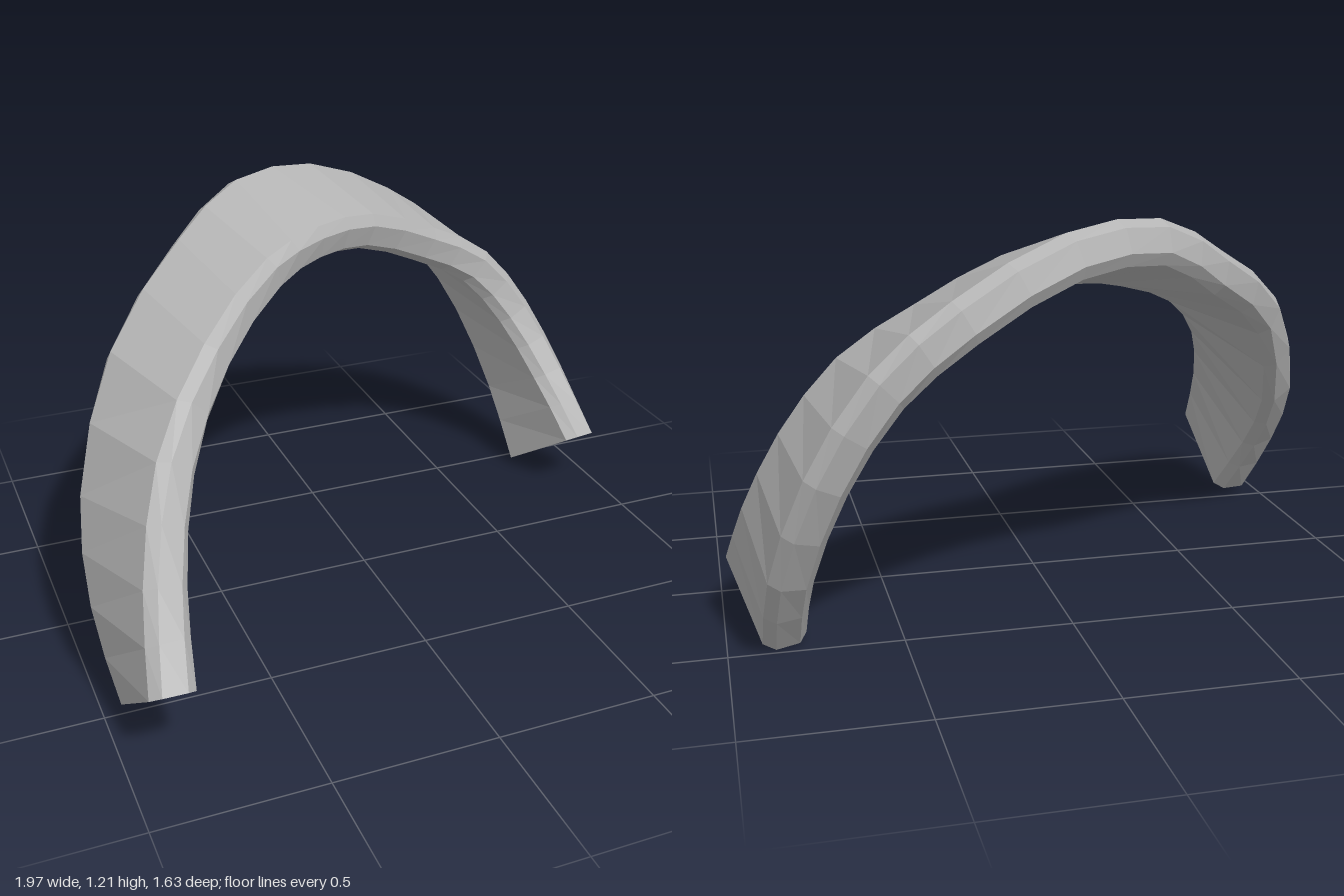
import * as THREE from 'three';

// Matching stations along the two rims of the band
const FRONT = [
  [-0.865, 0.28, 0.82], [-0.82, 0.5, 0.65], [-0.71, 0.73, 0.42], [-0.5, 0.91, 0.15],
  [-0.23, 1.02, -0.13], [-0.04, 1.05, -0.25], [0.17, 1.03, -0.35], [0.42, 0.925, -0.43],
  [0.63, 0.81, -0.46], [0.78, 0.63, -0.44], [0.88, 0.42, -0.34], [0.93, 0.23, -0.17],
];
const BACK = [
  [-0.89, 0.05, 0.5], [-0.93, 0.27, 0.33], [-0.91, 0.5, 0.13], [-0.77, 0.82, -0.11],
  [-0.48, 1.03, -0.42], [-0.25, 1.16, -0.58], [0.04, 1.15, -0.7], [0.36, 1.0, -0.79],
  [0.57, 0.83, -0.81], [0.73, 0.57, -0.78], [0.82, 0.26, -0.65], [0.83, 0.02, -0.47],
];
const SEGMENTS = 22;
const HALF = 0.066;   // half thickness
const CHAMFER = 0.03;

const rimCurve = (pts) => new THREE.CatmullRomCurve3(
  pts.map((p) => new THREE.Vector3(...p)), false, 'centripetal');

// Chamfered rectangle spanning the rims, counter-clockwise about the path
function crossSection(front, back, tangent) {
  const across = back.clone().sub(front);
  const width = across.length();
  across.normalize();
  const normal = tangent.clone().cross(across).normalize();
  const inner = HALF - CHAMFER;
  const outline = [
    [CHAMFER, -HALF], [width - CHAMFER, -HALF], [width, -inner], [width, inner],
    [width - CHAMFER, HALF], [CHAMFER, HALF], [0, inner], [0, -inner],
  ];
  return outline.map(([u, v]) =>
    front.clone().addScaledVector(across, u).addScaledVector(normal, v));
}

function bandGeometry() {
  const front = rimCurve(FRONT);
  const back = rimCurve(BACK);
  const positions = [];
  const tri = (a, b, c) => [a, b, c].forEach((p) => positions.push(p.x, p.y, p.z));

  const rings = [];
  for (let i = 0; i <= SEGMENTS; i++) {
    const t = i / SEGMENTS;
    const tangent = front.getTangent(t).add(back.getTangent(t)).normalize();
    rings.push(crossSection(front.getPoint(t), back.getPoint(t), tangent));
  }

  // Faceted skin between neighbouring sections
  const sides = rings[0].length;
  for (let i = 0; i < SEGMENTS; i++) {
    for (let j = 0; j < sides; j++) {
      const k = (j + 1) % sides;
      const [r, s] = [rings[i], rings[i + 1]];
      tri(r[j], r[k], s[j]);
      tri(r[k], s[k], s[j]);
    }
  }

  // Flat end faces
  const last = rings[SEGMENTS];
  for (let j = 1; j < sides - 1; j++) {
    tri(rings[0][0], rings[0][j + 1], rings[0][j]);
    tri(last[0], last[j], last[j + 1]);
  }

  const geometry = new THREE.BufferGeometry();
  geometry.setAttribute('position', new THREE.Float32BufferAttribute(positions, 3));
  geometry.computeVertexNormals(); // unshared corners give flat facets
  return geometry;
}

export function createModel() {
  const gray = new THREE.MeshStandardMaterial({ color: 0xb4b4b4 });
  gray.name = 'gray';
  const band = new THREE.Mesh(bandGeometry(), gray);
  band.name = 'archedBand';
  const model = new THREE.Group();
  model.name = 'headband';
  model.add(band);
  return model;
}
